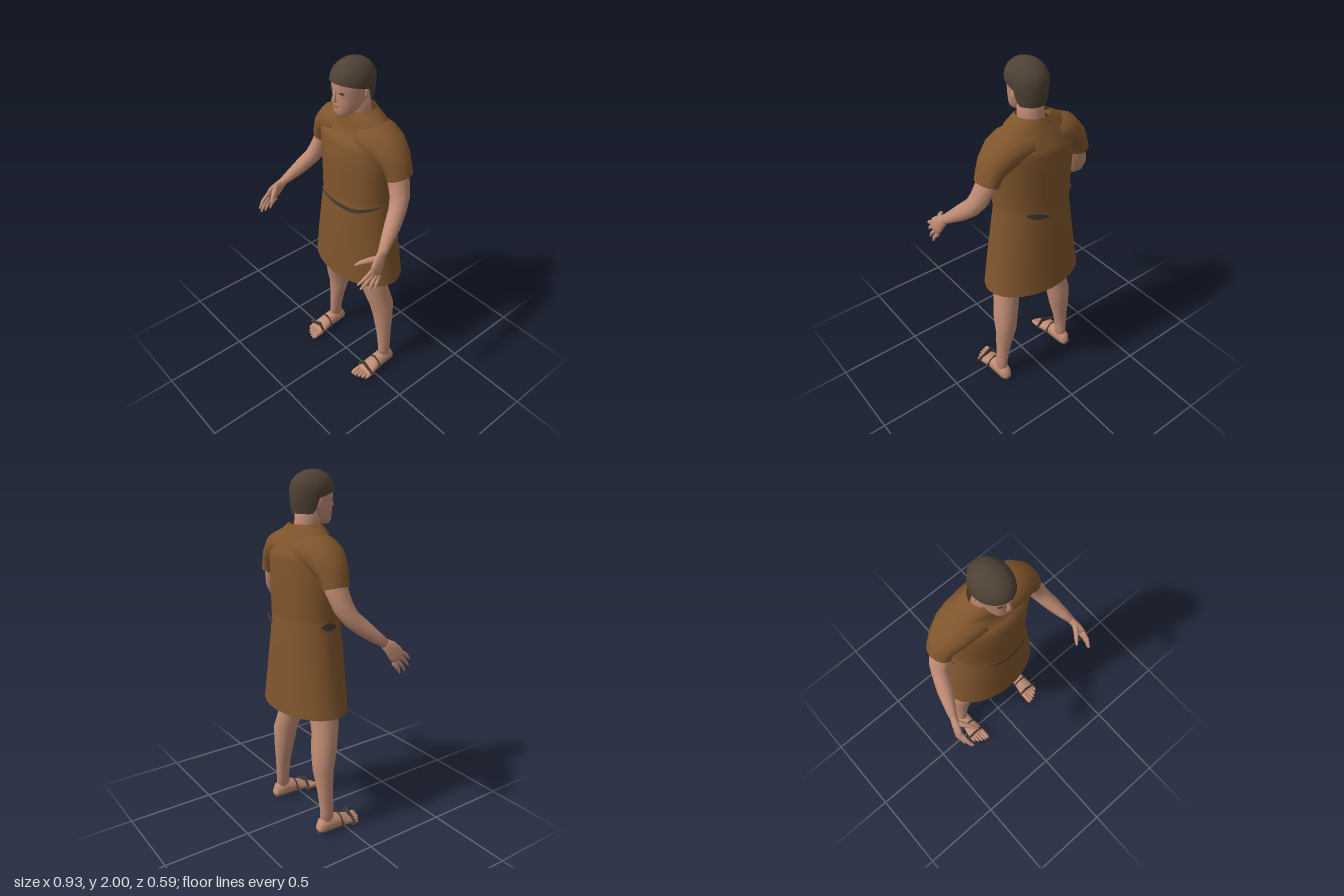
import * as THREE from 'three';

const V = (x, y, z) => new THREE.Vector3(x, y, z);
const X = V(1, 0, 0), Y = V(0, 1, 0), Z = V(0, 0, 1);

const mat = (name, color) => {
  const m = new THREE.MeshStandardMaterial({ color, side: THREE.DoubleSide });
  m.name = name;
  return m;
};

// Indexed surface from rows of points; each row is a closed or open strip.
function surface(rows, closed, caps) {
  const n = rows[0].length, pos = [], idx = [];
  rows.forEach(r => r.forEach(p => pos.push(p.x, p.y, p.z)));
  for (let i = 0; i < rows.length - 1; i++)
    for (let j = 0; j < (closed ? n : n - 1); j++) {
      const k = (j + 1) % n, a = i * n + j, b = i * n + k;
      idx.push(a, b, a + n, b, b + n, a + n);
    }
  if (caps) [0, rows.length - 1].forEach(i => {
    const c = rows[i].reduce((s, p) => s.add(p), V(0, 0, 0)).divideScalar(n);
    const ci = pos.length / 3;
    pos.push(c.x, c.y, c.z);
    for (let j = 0; j < n; j++) {
      const a = i * n + j, b = i * n + (j + 1) % n;
      idx.push(...(i ? [ci, a, b] : [ci, b, a]));
    }
  });
  const g = new THREE.BufferGeometry();
  g.setAttribute('position', new THREE.Float32BufferAttribute(pos, 3));
  g.setIndex(idx);
  g.computeVertexNormals();
  return g;
}

// Elliptical sections [x, y, z, a, b] along a path; a lies along ref.
function loft(path, ref, { seg = 12, dir = null, caps = true } = {}) {
  const c = path.map(p => V(p[0], p[1], p[2]));
  const rows = path.map((p, i) => {
    const d = dir || c[Math.min(i + 1, c.length - 1)].clone().sub(c[Math.max(i - 1, 0)]).normalize();
    const w = ref.clone().addScaledVector(d, -ref.dot(d)).normalize();
    const n = d.clone().cross(w);
    return Array.from({ length: seg }, (_, j) => {
      const t = j / seg * Math.PI * 2;
      return c[i].clone().addScaledVector(w, Math.cos(t) * p[3]).addScaledVector(n, Math.sin(t) * p[4]);
    });
  });
  return surface(rows, true, caps);
}

// Upright body rings [y, halfWidth, zBack, zFront]
const upright = rings => rings.map(([y, rx, zb, zf]) => [0, y, (zb + zf) / 2, rx, (zf - zb) / 2]);

export function createModel() {
  const root = new THREE.Group();
  root.name = 'manInTunic';
  const skin = mat('skin', 0xc08c74), hairMat = mat('hair', 0x4e4135), cloth = mat('tunicCloth', 0x80552c);
  const leather = mat('darkLeather', 0x463d34), lip = mat('lips', 0x9a5c4c), eyeMat = mat('eyes', 0x55332a);
  const add = (name, geo, m, parent = root) => {
    const mesh = new THREE.Mesh(geo, m);
    mesh.name = name;
    parent.add(mesh);
    return mesh;
  };

  // Tunic: skirt, and blouse overhanging it at the waist
  add('skirt', loft(upright([[0.73, 0.3, -0.295, 0.1], [0.9, 0.272, -0.282, 0.098], [1.08, 0.244, -0.268, 0.088],
    [1.22, 0.224, -0.256, 0.076], [1.3, 0.215, -0.24, 0.065]]), X, { seg: 28, dir: Y, caps: false }), cloth);
  add('blouse', loft(upright([[1.245, 0.227, -0.258, 0.078], [1.27, 0.226, -0.257, 0.076], [1.42, 0.235, -0.256, 0.076],
    [1.565, 0.245, -0.255, 0.075], [1.595, 0.238, -0.24, 0.04], [1.63, 0.222, -0.224, 0.01],
    [1.69, 0.165, -0.195, 0.008], [1.715, 0.12, -0.183, 0], [1.735, 0.09, -0.175, -0.01]]), X, { seg: 28, dir: Y, caps: false }), cloth);

  // Belt: exposed pieces, each a strip round the waist; angle 0 is the left side, 90 the front
  const belt = (name, a0, a1, yAt, h, out) => {
    const rows = [-h, h].map(dy => Array.from({ length: 13 }, (_, i) => {
      const t = i / 12, a = THREE.MathUtils.degToRad(a0 + (a1 - a0) * t);
      const fade = dy * (0.25 + 0.75 * Math.sin(t * Math.PI));
      return V(Math.cos(a) * (0.225 + out), yAt(t) + fade, -0.09 + Math.sin(a) * (0.168 + out));
    }));
    add(name, surface(rows, false), leather);
  };
  belt('beltFront', 122, 15, t => 1.25 - 0.034 * (t < 0.62 ? t / 0.62 : (1 - t) / 0.38), 0.013, 0.017);
  belt('beltBack', 278, 308, t => 1.225 + 0.03 * t, 0.018, 0.022);
  belt('beltRightSide', 172, 198, () => 1.23, 0.022, 0.02);

  // Neck and head
  add('neck', loft([[0, 1.62, -0.09, 0.075, 0.075], [0, 1.74, -0.075, 0.068, 0.07], [0, 1.83, -0.07, 0.066, 0.07]], X, { seg: 16 }), skin);
  add('head', loft(upright([[1.722, 0.03, 0, 0.052], [1.738, 0.052, -0.05, 0.063], [1.765, 0.066, -0.09, 0.066],
    [1.8, 0.076, -0.125, 0.067], [1.84, 0.083, -0.14, 0.066], [1.88, 0.087, -0.15, 0.072],
    [1.93, 0.085, -0.15, 0.07], [1.97, 0.06, -0.11, 0.03]]), X, { seg: 24, dir: Y }), skin);
  add('nose', loft([[0, 1.865, 0.067, 0.007, 0.006], [0, 1.835, 0.074, 0.009, 0.009], [0, 1.813, 0.078, 0.015, 0.011],
    [0, 1.803, 0.07, 0.012, 0.006]], X, { seg: 8 }), skin);
  const mouth = add('mouth', new THREE.SphereGeometry(1, 12, 6), lip);
  mouth.scale.set(0.022, 0.006, 0.004);
  mouth.position.set(0, 1.777, 0.065);

  // Hair cap: level hairline to the ears, then a step down to the nape
  const hairRows = Array.from({ length: 10 }, (_, i) => Array.from({ length: 40 }, (_, j) => {
    const a = j / 40 * Math.PI * 2, f = -Math.sin(a);
    const edge = 1.785 + 0.085 * THREE.MathUtils.smoothstep(f, -0.42, -0.1) + 0.033 * Math.max(0, f);
    const t = Math.sin(i / 9 * Math.PI / 2), y = edge + (2 - edge) * t;
    const k = y > 1.9 ? Math.sqrt(Math.max(0, 1 - ((y - 1.9) / 0.1) ** 2)) : 1 - 8 * (1.9 - y) ** 2;
    return V(Math.cos(a) * 0.1 * k, y, -0.045 + f * 0.125 * k);
  }));
  add('hair', surface(hairRows, true), hairMat);

  for (const s of [1, -1]) {
    const side = s > 0 ? 'left' : 'right';
    const grp = name => {
      const g = new THREE.Group();
      g.name = side + name;
      root.add(g);
      return g;
    };
    const flip = path => path.map(([x, ...r]) => [x * s, ...r]);
    const limb = (name, path, ref, m, parent, opt) => add(name, loft(flip(path), ref, opt), m, parent);

    // Eye and ear
    const face = grp('FaceDetails');
    const blob = (name, m, p, sc, ry) => {
      const b = add(name, new THREE.SphereGeometry(1, 10, 6), m, face);
      b.position.set(p[0] * s, p[1], p[2]);
      b.scale.set(...sc);
      b.rotation.y = ry * s;
    };
    blob('eye', eyeMat, [0.037, 1.853, 0.059], [0.014, 0.006, 0.004], 0.4);
    blob('ear', skin, [0.088, 1.84, -0.06], [0.008, 0.03, 0.018], 0.3);

    // Sleeve, broad at the shoulder, and arm
    limb('sleeve', [[0.08, 1.605, -0.1, 0.125, 0.092], [0.14, 1.598, -0.1, 0.122, 0.096], [0.2, 1.575, -0.1, 0.112, 0.092],
      [0.255, 1.53, -0.102, 0.092, 0.073], [0.28, 1.485, -0.103, 0.08, 0.062], [0.295, 1.442, -0.104, 0.075, 0.058]],
      Z, cloth, grp('SleevePart'), { seg: 18, caps: false });
    const arm = grp('Arm');
    limb('arm', [[0.25, 1.54, -0.1, 0.06, 0.05], [0.288, 1.44, -0.1, 0.064, 0.049], [0.325, 1.35, -0.08, 0.056, 0.048],
      [0.347, 1.29, -0.045, 0.05, 0.043], [0.375, 1.235, 0.015, 0.045, 0.04], [0.4, 1.185, 0.075, 0.034, 0.031],
      [0.42, 1.147, 0.122, 0.026, 0.022]], Z, skin, arm, { seg: 14 });

    // Hand with spread fingers and thumb
    const across = V(0, 0.75, 0.66);
    limb('palm', [[0.415, 1.155, 0.112, 0.025, 0.02], [0.427, 1.125, 0.145, 0.037, 0.019],
      [0.438, 1.095, 0.17, 0.046, 0.018], [0.446, 1.062, 0.194, 0.043, 0.013]], across, skin, arm);
    [[1.092, 0.22, 0.424, 1.032, 0.29], [1.073, 0.205, 0.431, 1.0, 0.277],
      [1.055, 0.188, 0.448, 0.982, 0.238], [1.04, 0.172, 0.455, 0.976, 0.198]].forEach(([y, z, tx, ty, tz], i) =>
      limb('finger' + (i + 1), [[0.443, y, z - 0.012, 0.013, 0.011], [(0.452 + tx) / 2, (y + ty) / 2, (z + tz) / 2, 0.011, 0.01],
        [tx, ty, tz, 0.005, 0.005]], across, skin, arm, { seg: 8 }));
    limb('thumb', [[0.428, 1.13, 0.152, 0.022, 0.017], [0.4, 1.125, 0.195, 0.016, 0.015], [0.375, 1.112, 0.225, 0.012, 0.011],
      [0.357, 1.097, 0.25, 0.005, 0.005]], Y, skin, arm, { seg: 8 });

    // Leg, ending just inside the skirt
    const leg = grp('Leg');
    limb('leg', [[0.135, 0.78, -0.073, 0.088, 0.083], [0.145, 0.73, -0.073, 0.086, 0.083], [0.17, 0.61, -0.082, 0.074, 0.077],
      [0.197, 0.5, -0.107, 0.071, 0.073], [0.204, 0.39, -0.118, 0.063, 0.058], [0.222, 0.26, -0.115, 0.043, 0.046],
      [0.235, 0.14, -0.112, 0.03, 0.041], [0.236, 0.06, -0.112, 0.034, 0.043]], X, skin, leg, { seg: 16, dir: Y });

    // Foot and toes
    limb('foot', [[0.236, 0.035, -0.176, 0.02, 0.022], [0.236, 0.052, -0.155, 0.035, 0.046], [0.236, 0.057, -0.1, 0.041, 0.052],
      [0.236, 0.05, -0.04, 0.043, 0.045], [0.236, 0.036, 0.02, 0.052, 0.031], [0.236, 0.025, 0.06, 0.055, 0.019]],
      X, skin, leg, { dir: Z });
    for (let i = 0; i < 5; i++) {
      const x = 0.197 + i * 0.021, r = i ? 0.0105 : 0.016, end = 0.12 - i * i * 0.0026;
      limb('toe' + (i + 1), [[x, 0.028, 0.045, r, r], [x, 0.023, end - 0.015, r, r], [x, 0.018, end, r * 0.5, r * 0.5]],
        X, skin, leg, { seg: 8 });
    }

    // Sandal: rim showing round the foot, toe plate, and two thin upright straps
    const sandal = grp('Sandal');
    limb('rim', [[0.236, 0.026, -0.178, 0.022, 0.004], [0.236, 0.026, -0.15, 0.036, 0.004], [0.236, 0.027, -0.1, 0.039, 0.004],
      [0.236, 0.028, -0.04, 0.044, 0.004], [0.236, 0.028, 0.02, 0.055, 0.004], [0.236, 0.025, 0.05, 0.057, 0.004]],
      X, leather, sandal, { dir: Z });
    limb('toePlate', [[0.236, 0.008, 0.04, 0.05, 0.005], [0.236, 0.008, 0.085, 0.045, 0.005]], X, leather, sandal, { dir: Z });
    const strap = (name, points, z) => {
      const shape = new THREE.Shape(points.map(([x, y]) => new THREE.Vector2(x * s, y)));
      add(name, new THREE.ExtrudeGeometry(shape, { depth: 0.009, bevelEnabled: false }).translate(0, 0, z), leather, sandal);
    };
    strap('frontStrap', [[0.17, 0.042], [0.212, 0.098], [0.31, 0.045], [0.298, 0.033], [0.215, 0.066], [0.178, 0.032]], 0.036);
    strap('instepStrap', [[0.178, 0.042], [0.205, 0.085], [0.236, 0.101], [0.268, 0.082], [0.295, 0.05], [0.286, 0.038],
      [0.236, 0.07], [0.186, 0.032]], -0.038);
  }
  return root;
}
